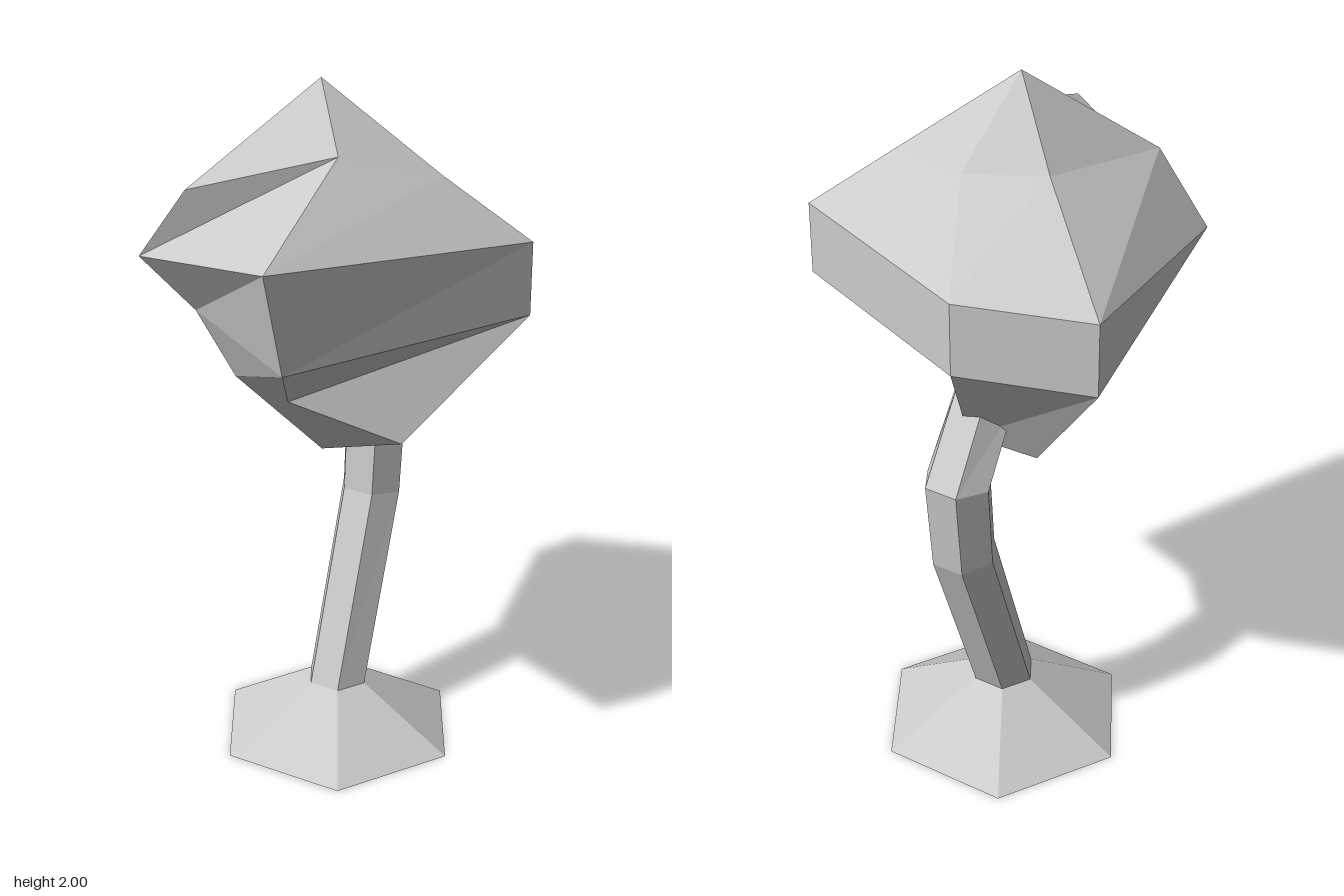
import * as THREE from 'three';

// Skin a stack of rings (bottom to top, counter-clockwise seen from above).
// A ring with a single point closes the stack to a tip.
function loft(name, rings, side = THREE.FrontSide) {
  const pos = [];
  const tri = (a, b, c) => pos.push(...a, ...b, ...c);
  for (let k = 0; k < rings.length - 1; k++) {
    const lo = rings[k], hi = rings[k + 1];
    const n = Math.max(lo.length, hi.length);
    for (let i = 0; i < n; i++) {
      const j = (i + 1) % n;
      if (lo.length === 1) tri(lo[0], hi[j], hi[i]);
      else if (hi.length === 1) tri(lo[i], lo[j], hi[0]);
      else {
        tri(lo[i], lo[j], hi[j]);
        tri(lo[i], hi[j], hi[i]);
      }
    }
  }
  const geo = new THREE.BufferGeometry();
  geo.setAttribute('position', new THREE.Float32BufferAttribute(pos, 3));
  geo.computeVertexNormals();
  const mat = new THREE.MeshStandardMaterial({ color: 0xcccccc, flatShading: true, side });
  const mesh = new THREE.Mesh(geo, mat);
  mesh.name = name;
  return mesh;
}

// Hexagon around the trunk axis; tilt raises its back edge
const AXIS_X = -0.046;
function hexRing(y, z, r, tilt = 0) {
  return Array.from({ length: 6 }, (_, i) => {
    const t = (i * Math.PI) / 3;
    const d = r * Math.sin(t);
    return [AXIS_X + r * Math.cos(t), y + d * Math.sin(tilt), z - d * Math.cos(tilt)];
  });
}

export function createModel() {
  const group = new THREE.Group();
  group.name = 'tree';

  // Flared root, open underneath
  group.add(loft('rootFlare', [hexRing(0, -0.156, 0.362), hexRing(0.165, -0.156, 0.09)], THREE.DoubleSide));

  // Bent trunk, its tip sunk into the crown
  group.add(loft('trunk', [
    hexRing(0.165, -0.156, 0.09),
    hexRing(0.71, -0.35, 0.092, -0.13),
    hexRing(0.955, -0.372, 0.095, 0.08),
    hexRing(1.14, -0.245, 0.09, 0.65),
    [[AXIS_X, 1.14, -0.245]],
  ], THREE.DoubleSide));

  // Irregular five-sided crown; each ring runs left, front, right, back, back-left
  group.add(loft('crown', [
    [[-0.043, 0.945, -0.06]],
    [[-0.2, 1.2, 0.13], [0.01, 1.2, 0.205], [0.25, 1.06, 0.02], [0, 1.01, -0.25], [-0.2, 1.0, -0.23]],
    [[-0.31, 1.375, 0.15], [0.125, 1.375, 0.42], [0.475, 1.375, -0.27], [-0.12, 1.375, -0.505], [-0.475, 1.375, -0.395]],
    [[-0.425, 1.535, 0.24], [0.125, 1.67, 0.505], [0.475, 1.58, -0.27], [-0.12, 1.58, -0.505], [-0.475, 1.58, -0.395]],
    [[-0.287, 1.735, 0.22], [0.08, 1.84, 0.067], [0.26, 1.755, -0.165], [0.015, 1.78, -0.245], [-0.2, 1.8, -0.175]],
    [[-0.043, 2, -0.057]],
  ]));

  return group;
}
